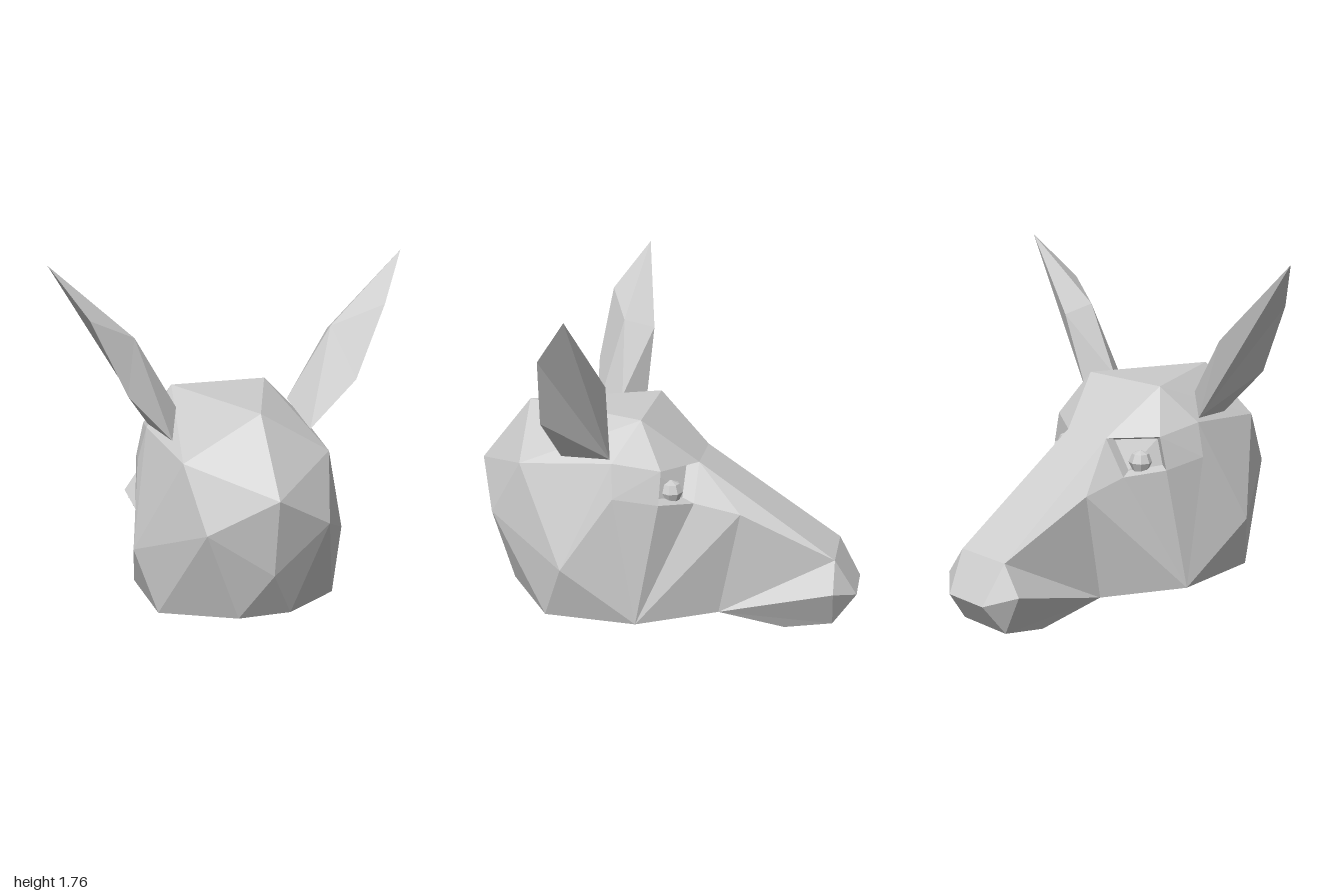
import * as THREE from 'three';

const grey = new THREE.MeshStandardMaterial({ color: 0xcccccc, flatShading: true, side: THREE.DoubleSide });
grey.name = 'light grey';

// Half-head corner points (x >= 0); a name ending in 0 means the same point on the centre line.
const P = {
  // skull back, crown and cheeks
  A: [0, 0.77, 1], B: [0, 1.11, 0.73], C: [0, 0.39, 0.94], D: [0.13, 0.145, 0.81],
  E: [0.45, 0.11, 0.55], F: [0.45, 0.1, 0.08], G: [0.21, 0.09, -0.305], J: [0.54, 0.405, 0.44],
  K: [0.3, 0.59, 0.863], L: [0.36, 0.89, 0.686], M: [0.245, 1.118, 0.088],
  N: [0.405, 0.94, 0.2], O: [0.45, 0.77, 0.19], H: [0.22, 0.645, -0.41],
  // eye opening
  X: [0.36, 0.9, -0.035], U: [0.135, 0.88, -0.185], V: [0.25, 0.7, -0.18], W: [0.4, 0.735, -0.03],
  // muzzle
  T: [0.153, 0.41, -0.885], p: [0.255, 0.265, -0.89], Q: [0.12, 0.215, -1],
  R: [0.15, 0.055, -0.885], S: [0.145, 0.005, -0.64],
  // ear: a, g = base, b-c = leading edge, t = tip, f = trailing edge, d-e = inner ridge
  a: [0.35, 0.94, 0.47], g: [0.4, 0.96, 0.21], b: [0.57, 1.18, 0.505], c: [0.73, 1.535, 0.46],
  t: [0.885, 1.77, 0.285], f: [0.54, 1.375, 0.19], d: [0.285, 1.06, 0.31], e: [0.495, 1.42, 0.345],
};

const point = (name) => {
  const v = new THREE.Vector3(...P[name[0]]);
  if (name[1] === '0') v.x = 0;
  return v;
};

// Point inside the head nearest to a face, used to turn faces outward
const spine = new THREE.Line3(new THREE.Vector3(0, 0.6, 0.5), new THREE.Vector3(0, 0.25, -0.85));
const insideHead = (v) => spine.closestPointToPoint(v, true, new THREE.Vector3());

// Fan-triangulates polygons, turns them away from the inside point, and mirrors on request
function facets(name, polygons, inside, mirror = true, inward = false) {
  const pos = [];
  const add = (a, b, c) => pos.push(...a.toArray(), ...b.toArray(), ...c.toArray());
  const flip = (v) => new THREE.Vector3(-v.x, v.y, v.z);
  for (const poly of polygons) {
    for (let i = 1; i < poly.length - 1; i++) {
      let [a, b, c] = [poly[0], poly[i], poly[i + 1]];
      const n = new THREE.Triangle(a, b, c).getNormal(new THREE.Vector3());
      const mid = a.clone().add(b).add(c).divideScalar(3);
      if ((n.dot(mid.clone().sub(inside(mid))) < 0) !== inward) [b, c] = [c, b];
      add(a, b, c);
      if (mirror) add(flip(a), flip(c), flip(b));
    }
  }
  const geo = new THREE.BufferGeometry();
  geo.setAttribute('position', new THREE.Float32BufferAttribute(pos, 3));
  geo.computeVertexNormals();
  const mesh = new THREE.Mesh(geo, grey);
  mesh.name = name;
  return mesh;
}

// Turns a list such as 'A B L, A L K' into polygons
const faces = (text) => text.split(',').map((f) => f.trim().split(' ').map(point));

export function createModel() {
  const group = new THREE.Group();
  group.name = 'animalHead';

  group.add(facets('skull', faces(`A B L, A L K, A K C, C K D, C D D0, K D E, K E J, K J L,
    B M M0, B L M, L N M, L J N, J O N, J F O, J E F`), insideHead));
  group.add(facets('face', faces(`M X N, N X O, X W O, O W F, M U X, M U U0 M0,
    W V F, V H F, H G F, U H V`), insideHead));
  group.add(facets('muzzle', faces(`U T T0 U0, U T H, H T G, T p G, p R G, R S G,
    T Q Q0 T0, T p Q, p R Q, Q R R0 Q0, R S S0 R0, S G G0 S0`), insideHead));
  group.add(facets('neckBase', faces('D E F G G0 D0'), insideHead));

  // Recessed eye sockets
  const rim = ['X', 'U', 'V', 'W'].map(point);
  const centre = rim.reduce((s, v) => s.add(v), new THREE.Vector3()).divideScalar(4);
  const out = new THREE.Vector3(0.55, 0.05, -0.83).normalize();
  const back = rim.map((v) => v.clone().lerp(centre, 0.2).addScaledVector(out, -0.06));
  const walls = rim.map((v, i) => [v, rim[(i + 1) % 4], back[(i + 1) % 4], back[i]]);
  group.add(facets('eyeSockets', [...walls, back], () => centre, true, true));

  for (const side of [1, -1]) {
    // Eyeball
    const eye = new THREE.Mesh(new THREE.SphereGeometry(0.06, 8, 4), grey);
    eye.name = side > 0 ? 'leftEye' : 'rightEye';
    eye.position.copy(centre).addScaledVector(out, -0.05);
    eye.position.y -= 0.04;
    eye.position.x *= side;
    group.add(eye);

    // Ear
    const outline = faces('g f t c b a, a b e d, b c e, c t e, e t f, d e f g, a d g');
    for (const poly of outline) for (const v of poly) v.x *= side;
    group.add(facets(side > 0 ? 'leftEar' : 'rightEar', outline,
      (v) => new THREE.Vector3(side * (0.39 + (v.y - 1) * 0.62), v.y, 0.33), false));
  }
  return group;
}
